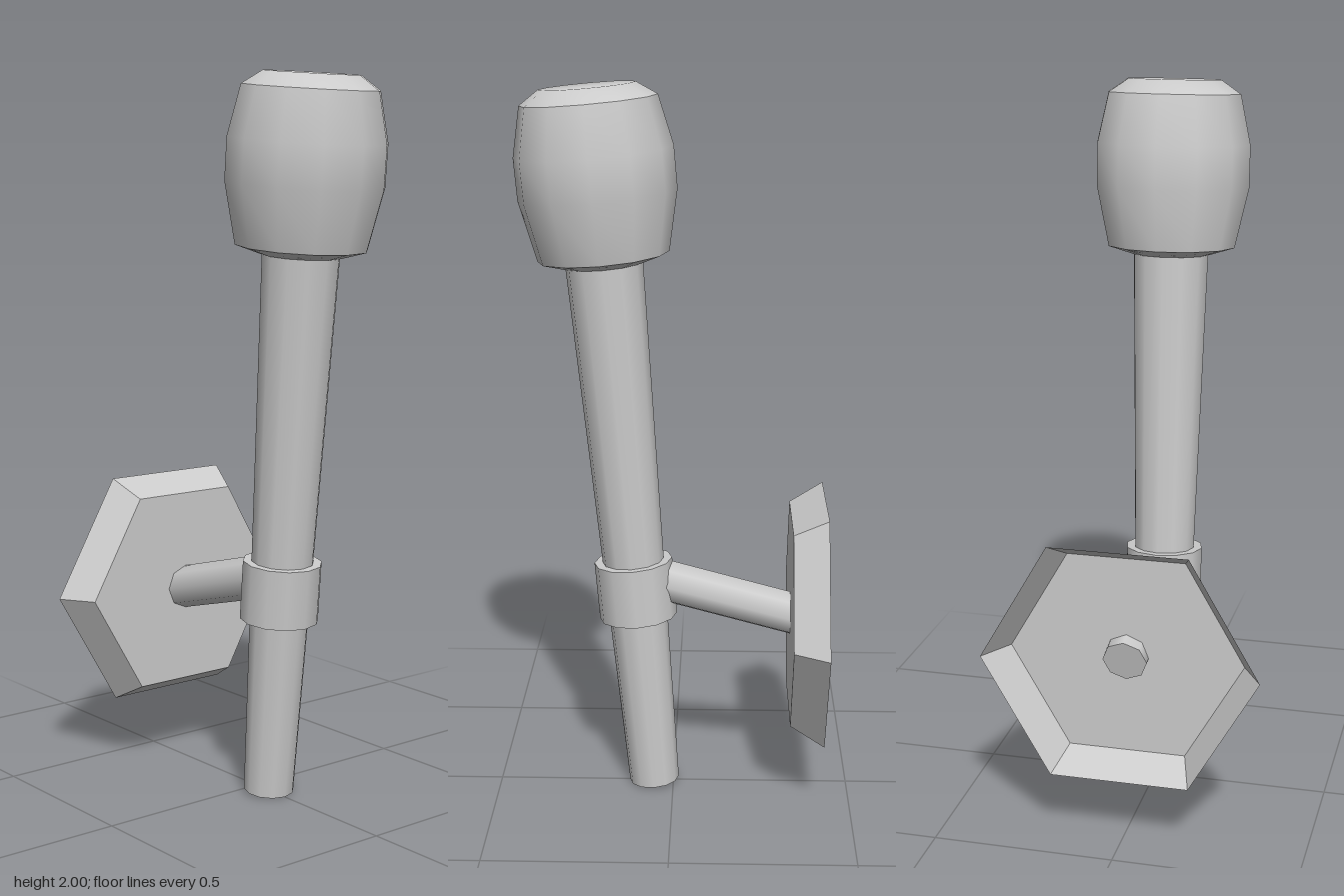
import * as THREE from 'three';
import { toCreasedNormals } from 'three/addons/utils/BufferGeometryUtils.js';

const material = new THREE.MeshStandardMaterial({ color: 0xcccccc });
const plateMaterial = new THREE.MeshStandardMaterial({
  color: 0xcccccc, flatShading: true, side: THREE.DoubleSide,
});

const profile = (pairs) => pairs.map(([r, y]) => new THREE.Vector2(r, y));

function addMesh(parent, name, geometry, mat = material) {
  const mesh = new THREE.Mesh(geometry, mat);
  mesh.name = name;
  parent.add(mesh);
  return mesh;
}

export function createModel() {
  const model = new THREE.Group();
  model.name = 'wallTorch';

  // Torch leaning forward from its foot
  const torch = new THREE.Group();
  torch.name = 'torch';
  torch.position.set(0, 0.009, 0.055);
  torch.rotation.x = THREE.MathUtils.degToRad(5);
  model.add(torch);

  // Tapered handle
  addMesh(torch, 'handle', new THREE.CylinderGeometry(0.106, 0.071, 1.53, 12))
    .position.y = 0.765;

  // Barrel-shaped head with bevelled top and bottom
  const head = new THREE.LatheGeometry(profile([
    [0, 1.513], [0.11, 1.513], [0.179, 1.535], [0.215, 1.7],
    [0.215, 1.815], [0.185, 1.95], [0.13, 1.987], [0, 1.987],
  ]), 12);
  addMesh(torch, 'head', toCreasedNormals(head, 0.7));

  // Ring holding the handle
  addMesh(torch, 'collar', new THREE.CylinderGeometry(0.11, 0.11, 0.165, 12))
    .position.y = 0.588;

  // Sloping arm, its end showing just through the plate
  const start = new THREE.Vector3(0, 0.624, 0.05);
  const end = new THREE.Vector3(0, 0.518, -0.35);
  const along = end.clone().sub(start);
  const arm = addMesh(model, 'arm', new THREE.CylinderGeometry(0.061, 0.061, along.length(), 8));
  arm.position.copy(start).add(end).multiplyScalar(0.5);
  arm.quaternion.setFromUnitVectors(new THREE.Vector3(0, 1, 0), along.normalize());

  // Hexagonal wall plate, a shallow dish open at the back
  const plate = addMesh(model, 'wallPlate', new THREE.LatheGeometry(
    profile([[0.38, -0.095], [0.322, 0], [0, 0]]), 6, Math.PI / 2), plateMaterial);
  plate.position.set(0, 0.525, -0.33);
  plate.rotation.x = Math.PI / 2;

  return model;
}
